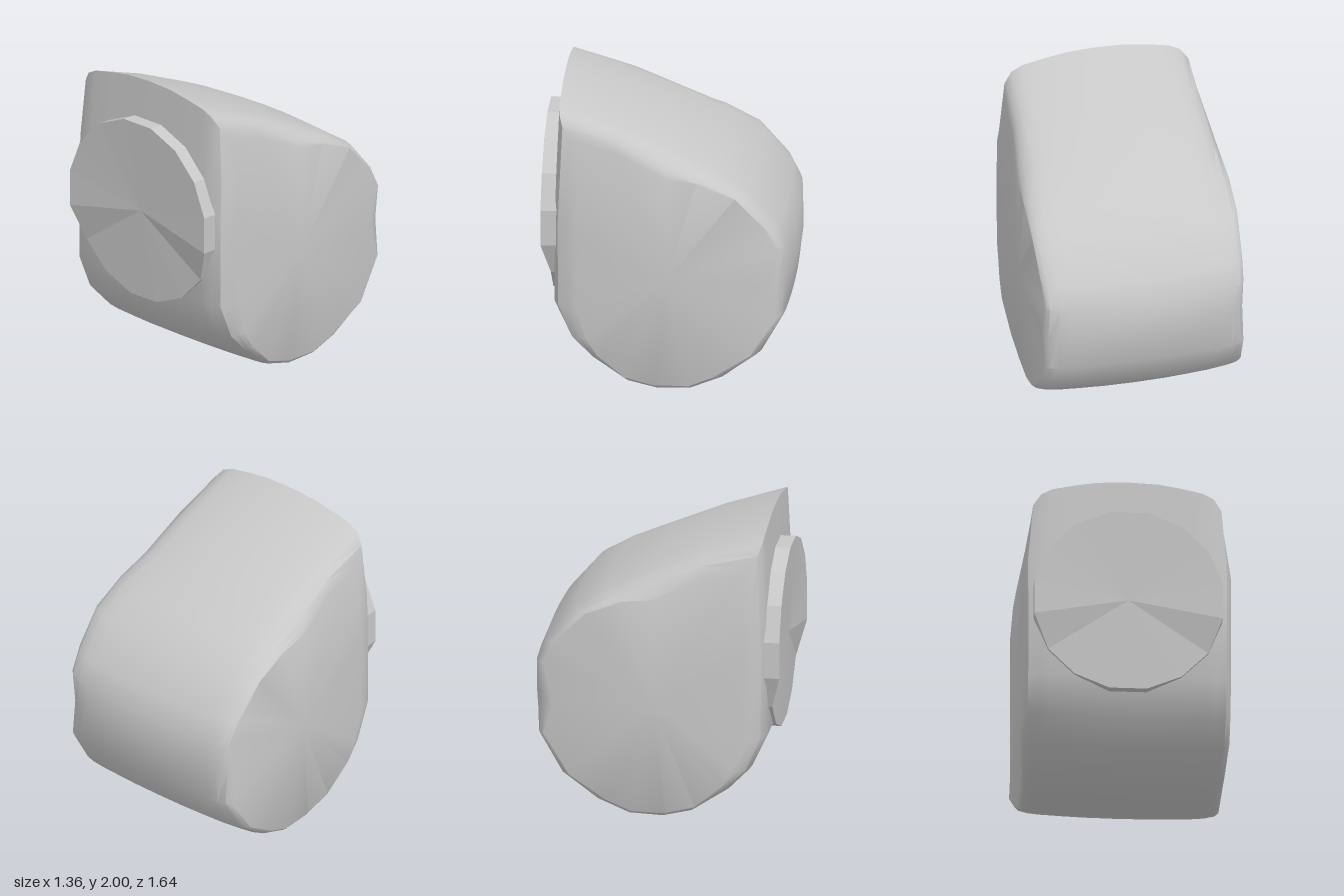
import * as THREE from 'three';
import { toCreasedNormals } from 'three/addons/utils/BufferGeometryUtils.js';

const { lerp, clamp } = THREE.MathUtils;

// Side outlines as [z, y]: through the middle, and around the flat side panel.
const MIDDLE = [
  [0.71, 2], [0.3, 1.84], [0, 1.72], [-0.35, 1.54], [-0.55, 1.4], [-0.74, 1.17], [-0.8, 1.02],
  [-0.82, 0.85], [-0.78, 0.56], [-0.65, 0.31], [-0.44, 0.13], [-0.18, 0.02], [0.03, 0],
  [0.22, 0.04], [0.5, 0.2], [0.63, 0.36], [0.74, 0.6], [0.74, 1.2], [0.73, 1.5],
];
const SIDE = [
  [0.57, 1.7], [0.32, 1.67], [0, 1.52], [-0.2, 1.5], [-0.45, 1.4], [-0.64, 1.2], [-0.72, 1.06],
  [-0.66, 0.8], [-0.72, 0.57], [-0.55, 0.3], [-0.3, 0.13], [-0.14, 0.06], [0.08, 0.06],
  [0.27, 0.11], [0.45, 0.27], [0.52, 0.38], [0.58, 0.6], [0.59, 1.15], [0.57, 1.4],
];
// Half of the loft stations: [x, blend from middle to side outline].
const HALF = [[0, 0], [0.2, 0.03], [0.35, 0.11], [0.5, 0.21], [0.58, 0.33], [0.645, 0.56], [0.67, 0.82], [0.68, 1]];

function bodyGeometry() {
  const stations = [...HALF.slice(1).reverse().map(([x, t]) => [-x, t]), ...HALF];
  const n = MIDDLE.length;
  const positions = [];
  const index = [];
  for (const [x, t] of stations) {
    MIDDLE.forEach(([midZ, midY], j) => {
      const [sideZ, sideY] = SIDE[j];
      const y = lerp(midY, sideY, t);
      // The front stays flat almost to its corners
      const z = lerp(midZ, sideZ, midZ > 0.6 ? t ** 2.5 : t);
      // The flanks lean in towards the top, the bottom and the back
      const lean = 0.03 * clamp((0.25 - y) / 0.2, 0, 1) + 0.06 * clamp((y - 1.5) / 0.25, 0, 1)
        + 0.02 * clamp((-0.55 - z) / 0.15, 0, 1);
      positions.push(x - Math.sign(x) * lean * t, y, z);
    });
  }
  for (let i = 0; i < stations.length - 1; i++) {
    for (let j = 0; j < n; j++) {
      const a = i * n + j, d = i * n + ((j + 1) % n);
      index.push(a, a + n, d + n, a, d + n, d);
    }
  }
  // Flat side panels
  const last = (stations.length - 1) * n;
  const center = stations.length * n;
  positions.push(-0.68, 0.8, 0, 0.68, 0.8, 0);
  for (let j = 0; j < n; j++) {
    const k = (j + 1) % n;
    index.push(center, j, k, center + 1, last + k, last + j);
  }
  const geometry = new THREE.BufferGeometry();
  geometry.setAttribute('position', new THREE.Float32BufferAttribute(positions, 3));
  geometry.setIndex(index);
  return toCreasedNormals(geometry, 0.6);
}

// Faceted rim and shallow dish, the rim sinking into the housing at the bottom
function roundFaceGeometry() {
  const profile = [[0.62, 0.62], [0.625, 0.82], [0, 0.79]].map(([r, z]) => new THREE.Vector2(r, z));
  const geometry = new THREE.LatheGeometry(profile, 16, Math.PI / 16).toNonIndexed();
  geometry.rotateX(Math.PI / 2);
  const position = geometry.attributes.position;
  for (let i = 0; i < position.count; i++) {
    if (position.getY(i) < -0.3 && position.getZ(i) > 0.8) position.setZ(i, 0.76);
  }
  geometry.computeVertexNormals();
  return geometry;
}

export function createModel() {
  const group = new THREE.Group();
  const grey = new THREE.MeshStandardMaterial({ color: 0xc8c8c8 });
  grey.name = 'light grey';

  // Rounded wedge housing
  const body = new THREE.Mesh(bodyGeometry(), grey);
  body.name = 'body';
  group.add(body);

  // Raised round face
  const roundFace = new THREE.Mesh(roundFaceGeometry(), grey);
  roundFace.name = 'roundFace';
  roundFace.position.y = 1.12;
  group.add(roundFace);

  return group;
}
